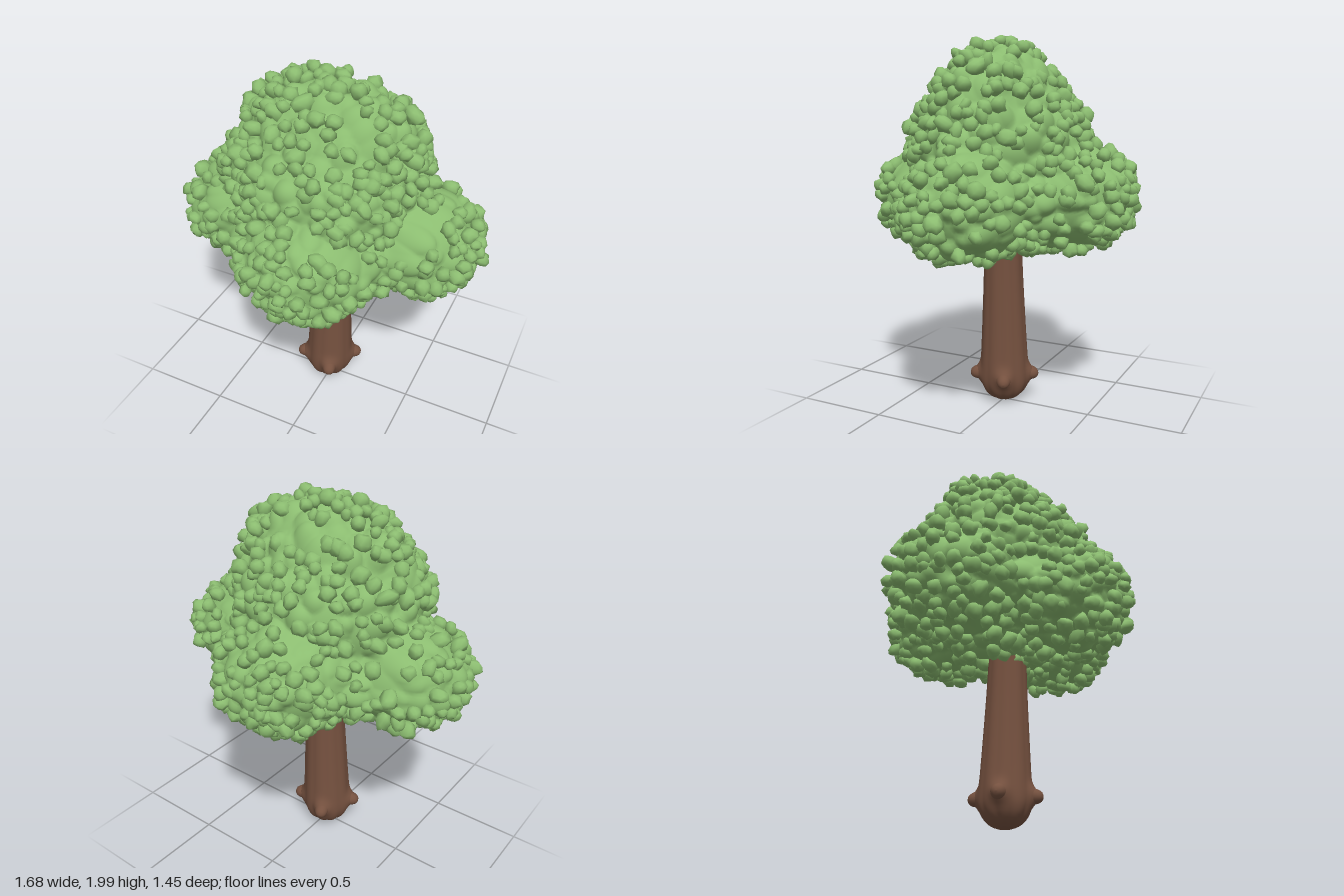
import * as THREE from 'three';
import { mergeGeometries, mergeVertices } from 'three/addons/utils/BufferGeometryUtils.js';

const leafGreen = new THREE.MeshStandardMaterial({ color: 0x8bbc70 });
leafGreen.name = 'leaf green';
const barkBrown = new THREE.MeshStandardMaterial({ color: 0x75513f });
barkBrown.name = 'bark brown';

// Small seeded random generator
let seed = 12345;
function random() {
  seed = (seed * 1664525 + 1013904223) % 4294967296;
  return seed / 4294967296;
}
const spread = (a) => (random() * 2 - 1) * a;

// Foliage lobes: centre and radii
const crownCentre = new THREE.Vector3(0, 1.25, 0);
const lobes = [
  [[0.01, 1.62, 0.01], [0.45, 0.31, 0.29]],
  [[-0.01, 1.43, 0.02], [0.5, 0.36, 0.45]],
  [[0, 1.15, 0], [0.54, 0.27, 0.5]],
  [[-0.47, 1.15, 0.03], [0.3, 0.26, 0.31]],
  [[0.48, 1.16, -0.03], [0.29, 0.26, 0.3]],
  [[0.04, 1.15, 0.38], [0.33, 0.26, 0.28]],
  [[-0.03, 1.17, -0.38], [0.33, 0.27, 0.29]],
].map(([c, r]) => {
  const radii = new THREE.Vector3(...r);
  return { radii, offset: crownCentre.clone().sub(new THREE.Vector3(...c)).divide(radii) };
});

// Distance from the crown centre to the outside of the blended lobes
function crownRadius(dir) {
  const blend = 0.025;
  let sum = 0;
  for (const { radii, offset } of lobes) {
    const d = dir.clone().divide(radii);
    const a = d.lengthSq();
    const b = d.dot(offset);
    const root = b * b - a * (offset.lengthSq() - 1);
    if (root > 0) sum += Math.exp((Math.sqrt(root) - b) / a / blend);
  }
  return blend * Math.log(sum);
}
const crownPoint = (dir, lift) =>
  dir.clone().multiplyScalar(crownRadius(dir) + lift).add(crownCentre);

// Directions scattered over the crown, thicker where it reaches further out
function scatter(count) {
  const out = [];
  while (out.length < count) {
    const y = spread(1);
    const turn = spread(Math.PI);
    const ring = Math.sqrt(1 - y * y);
    const dir = new THREE.Vector3(Math.cos(turn) * ring, y, Math.sin(turn) * ring);
    const radius = crownRadius(dir);
    const crowded = out.some((o) => o.distanceTo(dir) * radius < 0.035);
    if (!crowded && random() < (radius / 0.8) ** 2) out.push(dir);
  }
  return out;
}

// Move every vertex of a geometry by a rule, then smooth it
function reshape(geometry, rule) {
  geometry.deleteAttribute('uv');
  geometry.deleteAttribute('normal');
  const g = mergeVertices(geometry, 1e-5);
  const pos = g.attributes.position;
  const v = new THREE.Vector3();
  for (let i = 0; i < pos.count; i++) {
    rule(v.fromBufferAttribute(pos, i));
    pos.setXYZ(i, v.x, v.y, v.z);
  }
  g.computeVertexNormals();
  return g;
}

// Crown body, covered in soft rounded swellings
function createBody() {
  const swellings = scatter(420).map((dir) => ({
    dir, height: 0.015 + random() * 0.035, width: 0.045 + random() * 0.04,
  }));
  const geometry = reshape(new THREE.IcosahedronGeometry(1, 54), (v) => {
    v.normalize();
    const radius = crownRadius(v);
    let lift = -0.015;
    for (const { dir, height, width } of swellings) {
      const d = dir.distanceToSquared(v) * (radius / width) ** 2;
      if (d < 1) lift = Math.max(lift, height * (1 - d) - 0.015);
    }
    v.multiplyScalar(radius + lift).add(crownCentre);
  });
  const body = new THREE.Mesh(geometry, leafGreen);
  body.name = 'foliageLobes';
  return body;
}

// Knobbly little leaf clumps, from a few shapes in different turns and sizes
function createClumps() {
  const shapes = Array.from({ length: 10 }, () =>
    reshape(new THREE.IcosahedronGeometry(1, 1), (v) => {
      v.multiplyScalar(1 + spread(0.2));
    }));
  const clumps = scatter(720).map((dir, i) => {
    const size = 0.028 + random() * 0.014;
    const place = new THREE.Matrix4().compose(
      crownPoint(dir, random() * 0.04),
      new THREE.Quaternion().setFromEuler(new THREE.Euler(spread(3), spread(3), spread(3))),
      new THREE.Vector3(size, size * (0.85 + random() * 0.25), size * (1 + random() * 0.35)));
    return shapes[i % shapes.length].clone().applyMatrix4(place);
  });
  const mesh = new THREE.Mesh(mergeGeometries(clumps), leafGreen);
  mesh.name = 'leafClumps';
  return mesh;
}

// Directions of the four root knobs around the foot
const knobAngles = [-24, 66, 156, 246].map(THREE.MathUtils.degToRad);

function createTrunk() {
  const trunk = new THREE.Group();
  trunk.name = 'trunk';

  // Rounded, scalloped foot and tapering, faintly fluted stem
  const profile = new THREE.SplineCurve([
    [0, 0], [0.04, 0.005], [0.08, 0.025], [0.112, 0.06], [0.13, 0.105], [0.134, 0.15],
    [0.132, 0.21], [0.126, 0.32], [0.117, 0.5], [0.108, 0.7], [0.102, 0.88], [0.099, 1],
  ].map(([r, y]) => new THREE.Vector2(r, y))).getSpacedPoints(60);
  profile[0].x = 0;
  const stemGeometry = reshape(new THREE.LatheGeometry(profile, 72), (v) => {
    const angle = Math.atan2(v.z, v.x);
    const depth = 0.03 + 0.06 * Math.exp(-((v.y / 0.09) ** 2));
    let swell = 1 + depth * (Math.abs(Math.cos(angle * 5)) - 0.6);
    // Flare where each knob grows out
    for (const a of knobAngles) {
      const turn = Math.atan2(Math.sin(angle - a), Math.cos(angle - a));
      swell += 0.28 * Math.exp(-((turn / 0.3) ** 2) - ((v.y - 0.155) / 0.045) ** 2);
    }
    v.x = v.x * swell - 0.012 + 0.025 * v.y;
    v.z *= swell;
  });
  const stem = new THREE.Mesh(stemGeometry, barkBrown);
  stem.name = 'stem';
  trunk.add(stem);

  // Blunt tips of the knobs
  const knobProfile = [
    [0.046, 0], [0.042, 0.02], [0.037, 0.04], [0.032, 0.054], [0.024, 0.067], [0.012, 0.074], [0, 0.076],
  ].map(([r, y]) => new THREE.Vector2(r, y));
  const knobGeometry = new THREE.LatheGeometry(knobProfile, 20);
  for (const a of knobAngles) {
    const out = new THREE.Vector3(Math.cos(a), -0.12, Math.sin(a)).normalize();
    const knob = new THREE.Mesh(knobGeometry, barkBrown);
    knob.name = 'rootKnob';
    knob.quaternion.setFromUnitVectors(new THREE.Vector3(0, 1, 0), out);
    knob.position.set(Math.cos(a) * 0.115 - 0.008, 0.156, Math.sin(a) * 0.115);
    trunk.add(knob);
  }
  return trunk;
}

export function createModel() {
  const canopy = new THREE.Group();
  canopy.name = 'canopy';
  canopy.add(createBody(), createClumps());
  const model = new THREE.Group();
  model.name = 'tree';
  model.add(createTrunk(), canopy);
  return model;
}
